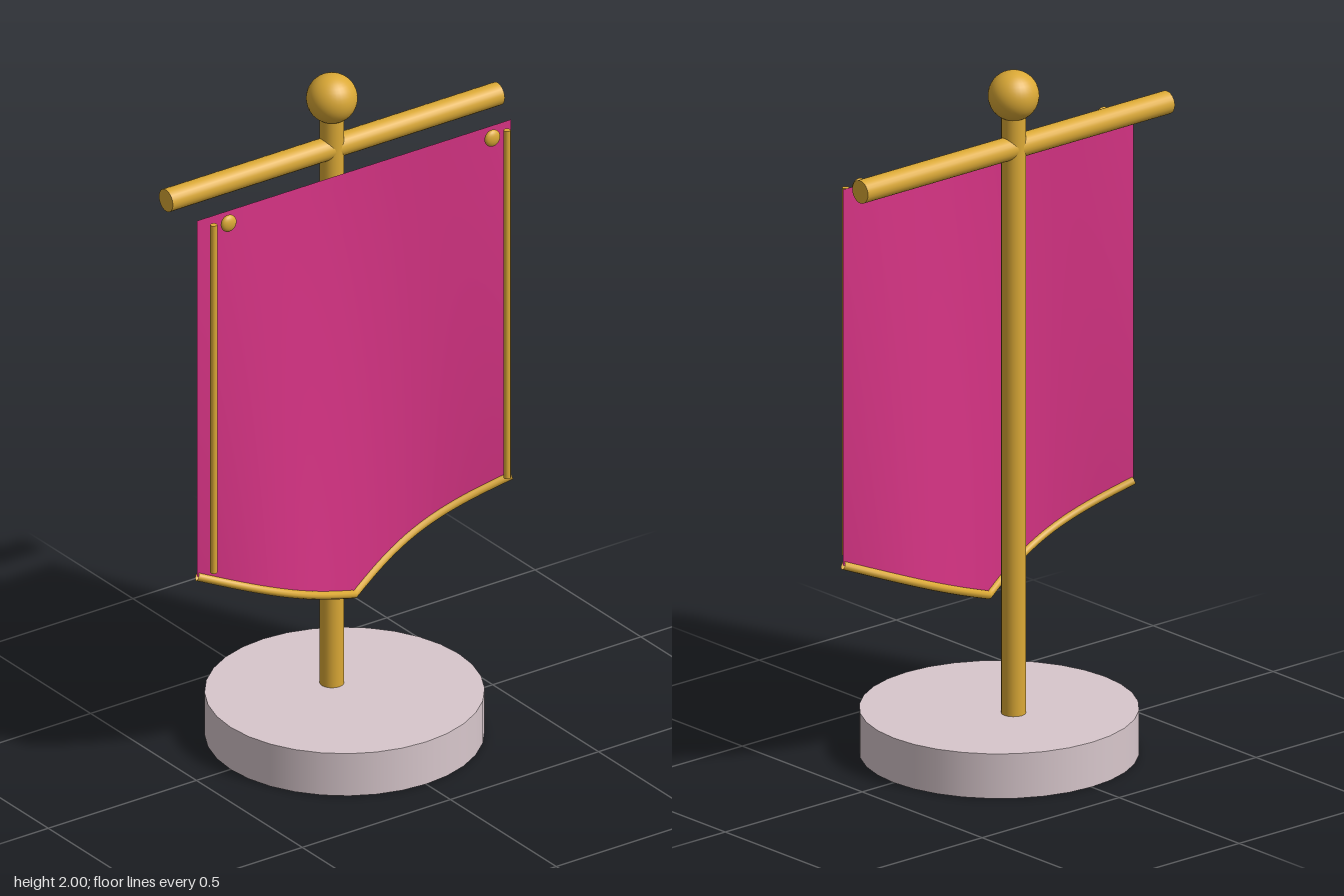
import * as THREE from 'three';

const gold = new THREE.MeshStandardMaterial({ color: 0xdba936 });
const goldOpen = new THREE.MeshStandardMaterial({ color: 0xdba936, side: THREE.DoubleSide });
const pink = new THREE.MeshStandardMaterial({ color: 0xd63384, side: THREE.DoubleSide });
const stone = new THREE.MeshStandardMaterial({ color: 0xd8c7cc });

const HALF = 0.53, TOP = 1.75, SIDE = 0.655, TIP = 0.445, CLOTH_Z = 0.045, POLE_Z = -0.06;

// Point on the cloth: x across, t from 0 at the top to 1 at the pointed hem
function clothPoint(x, t, target = new THREE.Vector3()) {
  const bottom = TIP + (SIDE - TIP) * Math.abs(x) / HALF;
  const wave = -0.06 * Math.sin(Math.PI * x / HALF);
  return target.set(x, TOP + (bottom - TOP) * t, CLOTH_Z + wave * t);
}

class HemCurve extends THREE.Curve {
  getPoint(u, target = new THREE.Vector3()) {
    return clothPoint((u * 2 - 1) * HALF, 1, target);
  }
}

export function createModel() {
  const model = new THREE.Group();
  const add = (name, geometry, material, x, y, z) => {
    const mesh = new THREE.Mesh(geometry, material);
    mesh.name = name;
    mesh.position.set(x, y, z);
    model.add(mesh);
    return mesh;
  };

  // Stand
  add('base', new THREE.CylinderGeometry(0.385, 0.385, 0.13, 32), stone, 0, 0.065, 0);
  add('pole', new THREE.CylinderGeometry(0.034, 0.034, 1.78, 24), gold, 0, 1.01, POLE_Z);
  add('finial', new THREE.SphereGeometry(0.071, 32, 20), gold, 0, 1.929, POLE_Z);
  add('crossbar', new THREE.CylinderGeometry(0.033, 0.033, 1.12, 24), gold, 0, 1.778, POLE_Z)
    .rotation.z = Math.PI / 2;

  // Waving cloth with a pointed lower edge
  const cloth = new THREE.PlaneGeometry(2, 1, 40, 30);
  const p = cloth.attributes.position;
  const v = new THREE.Vector3();
  for (let i = 0; i < p.count; i++) {
    clothPoint(p.getX(i) * HALF, 0.5 - p.getY(i), v);
    p.setXYZ(i, v.x, v.y, v.z);
  }
  cloth.computeVertexNormals();
  add('cloth', cloth, pink, 0, 0, 0);

  // Gold hem along the point
  add('hem', new THREE.TubeGeometry(new HemCurve(), 80, 0.012, 10), goldOpen, 0, 0, 0);

  // Side trims and studs
  for (const [side, s] of [['left', 1], ['right', -1]]) {
    add(side + 'Trim', new THREE.CylinderGeometry(0.01, 0.01, 1.07, 12), gold, s * 0.495, 1.205, 0.075);
    add(side + 'Stud', new THREE.SphereGeometry(0.025, 20, 14), gold, s * 0.445, 1.73, 0.075)
      .scale.z = 0.52;
  }
  return model;
}
